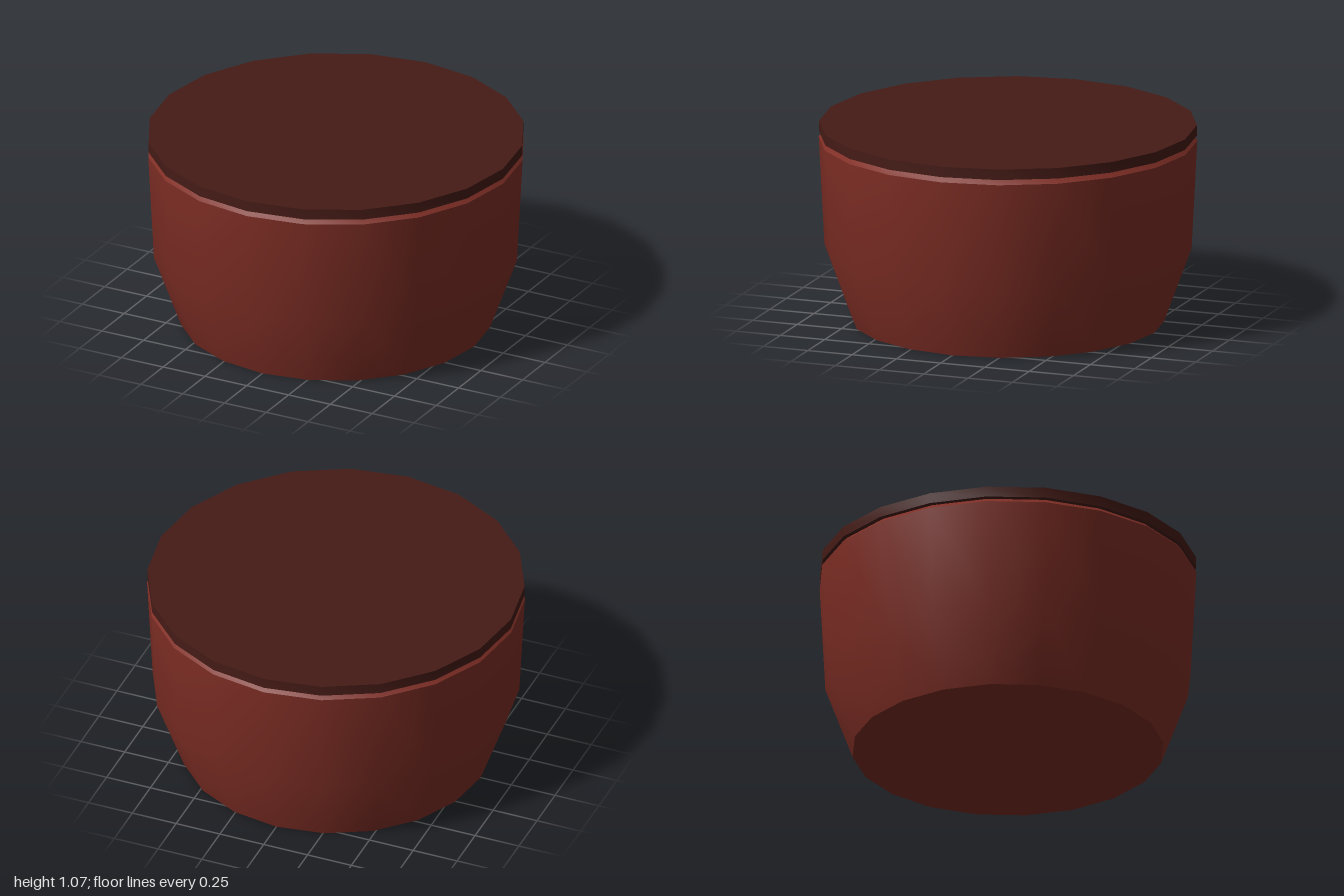
import * as THREE from 'three';
import { toCreasedNormals } from 'three/addons/utils/BufferGeometryUtils.js';

const SIDES = 20;

// Turns a [radius, height] profile, listed bottom to top, into a closed solid
function turned(name, color, profile) {
  const points = profile.map(([r, y]) => new THREE.Vector2(r, y));
  const geometry = toCreasedNormals(new THREE.LatheGeometry(points, SIDES), 0.5);
  const mesh = new THREE.Mesh(geometry, new THREE.MeshStandardMaterial({ color }));
  mesh.name = name;
  return mesh;
}

export function createModel() {
  const model = new THREE.Group();
  model.name = 'lidded pot';

  // Tapered pot with a bevelled rim and a narrow neck under the lid
  model.add(turned('pot', 0x7f2e25, [
    [0, 0], [0.825, 0], [0.97, 0.4], [1, 0.984], [0.975, 1.009], [0, 1.009],
  ]));

  // Flat disc lid
  model.add(turned('lid', 0x451b16, [
    [0, 1.012], [0.998, 1.012], [0.998, 1.069], [0, 1.069],
  ]));

  return model;
}
